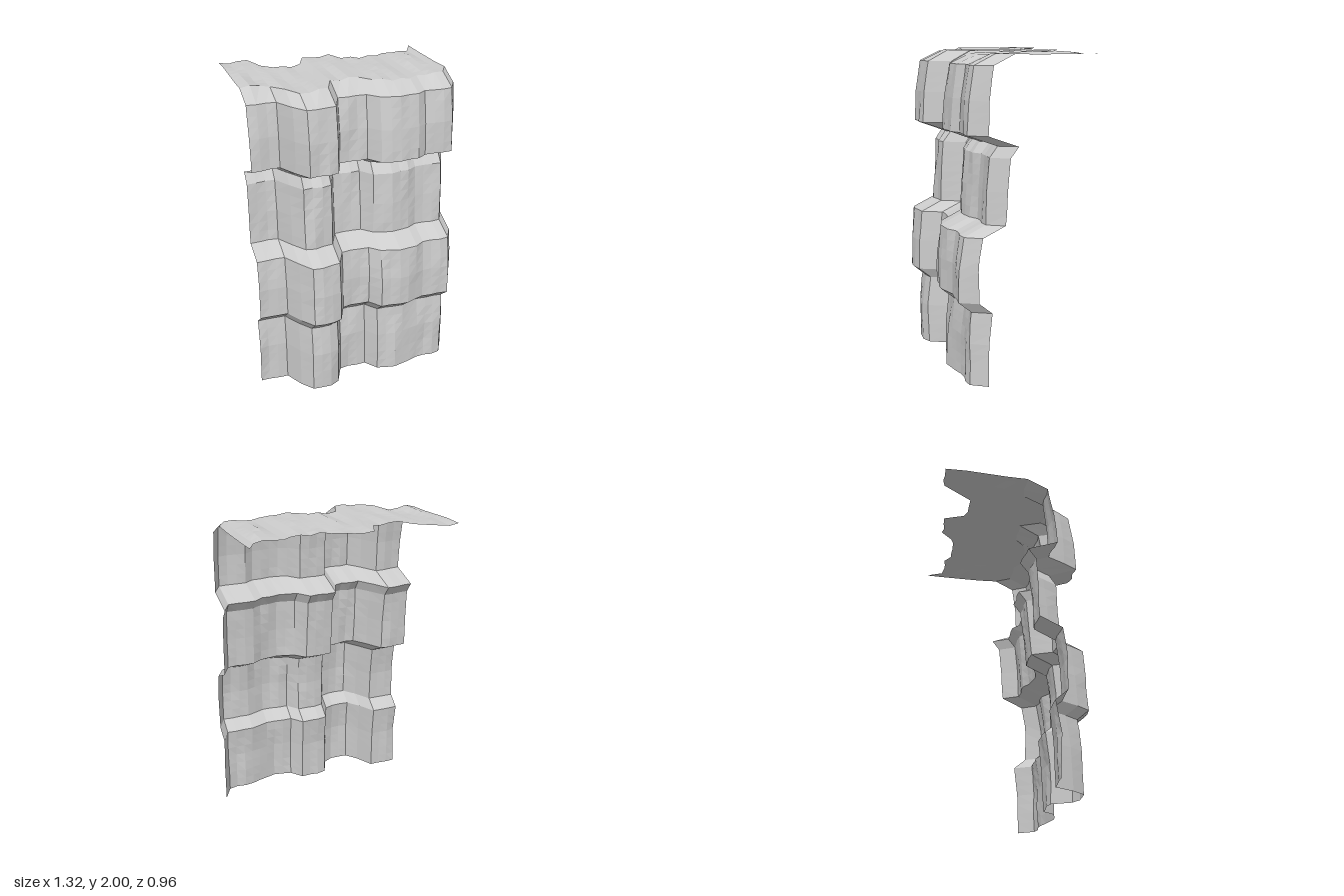
import * as THREE from 'three';

const STEP_X = 0.06, STEP_Y = 0.0663, COLS = 22, WALL_ROWS = 30, CAP_ROWS = 8;

// Plan outline of the cliff: depth of each column
const OUTLINE = [0.275, 0.27, 0.265, 0.27, 0.385, 0.47, 0.475, 0.475, 0.455, 0.325, 0.325, 0.32,
  0.325, 0.4, 0.415, 0.425, 0.42, 0.41, 0.38, 0.38, 0.385, 0.385, 0.28];

// Stepped side profile of the ledges: [row, depth offset]
const LEDGES = [[0, -0.055], [4, -0.06], [7, -0.08], [8, 0], [11, -0.003], [14, -0.025], [15, -0.16],
  [18, -0.168], [21, -0.185], [22, -0.235], [23, -0.05], [26, -0.06], [29, -0.09], [30, -0.22], [38, -0.752]];

// Repeatable noise in -1..1
function hash(a, b) {
  const s = Math.sin(a * 127.1 + b * 311.7) * 43758.5453;
  return 2 * (s - Math.floor(s)) - 1;
}

// Vertical rock streaks: noise held along each column for a few rows
function streak(col, row) {
  const t = (row + 2 * (col % 2)) / 4, k = Math.floor(t);
  return THREE.MathUtils.lerp(hash(col, k), hash(col, k + 1), t - k);
}

function ledgeOffset(row) {
  const i = Math.max(1, LEDGES.findIndex(([r]) => r >= row));
  const [r0, d0] = LEDGES[i - 1], [r1, d1] = LEDGES[i];
  return THREE.MathUtils.mapLinear(row, r0, r1, d0, d1);
}

function surfacePoint(col, row) {
  const x = (col - COLS / 2) * STEP_X;
  const z = OUTLINE[col] + ledgeOffset(row) + 0.011 * streak(col, row);
  const y = row < WALL_ROWS ? row * STEP_Y : 1.989 + 0.011 * streak(col + 40, row);
  return [x, y, z];
}

// Grid sheet between two rows, facets split along the rising diagonal
function sheet(firstRow, lastRow) {
  const positions = [], index = [], width = COLS + 1;
  for (let row = firstRow; row <= lastRow; row++)
    for (let col = 0; col <= COLS; col++) positions.push(...surfacePoint(col, row));
  for (let r = 0; r < lastRow - firstRow; r++)
    for (let c = 0; c < COLS; c++) {
      const a = r * width + c, b = a + 1, d = a + width, e = d + 1;
      index.push(a, b, e, a, e, d);
    }
  const indexed = new THREE.BufferGeometry();
  indexed.setAttribute('position', new THREE.Float32BufferAttribute(positions, 3));
  indexed.setIndex(index);
  const geometry = indexed.toNonIndexed();
  geometry.computeVertexNormals();
  return geometry;
}

export function createModel() {
  const rock = new THREE.MeshStandardMaterial({ color: 0xcccccc, side: THREE.DoubleSide, flatShading: true });
  rock.name = 'grey rock';

  const cliff = new THREE.Group();
  cliff.name = 'cliff';
  const parts = [
    ['lowerWall', 0, 15],
    ['upperWall', 15, WALL_ROWS],
    ['plateau', WALL_ROWS, WALL_ROWS + CAP_ROWS],
  ];
  for (const [name, from, to] of parts) {
    const mesh = new THREE.Mesh(sheet(from, to), rock);
    mesh.name = name;
    cliff.add(mesh);
  }
  return cliff;
}
